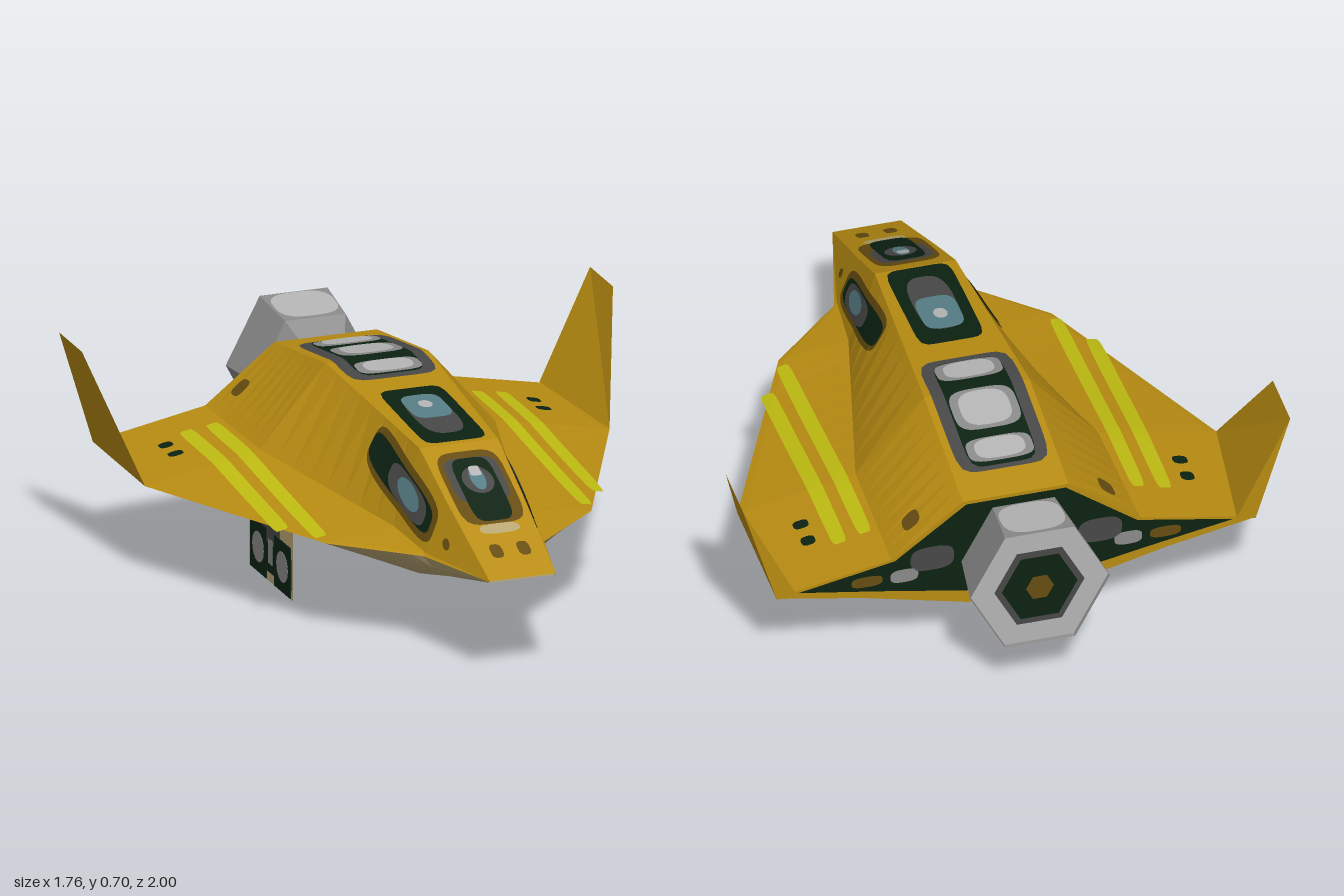
import * as THREE from 'three';

const mat = (name, color) => new THREE.MeshStandardMaterial({ name, color, side: THREE.DoubleSide });

// Hull stations from nose to tail: z, then the half section
// [deck edge, wing root, wing inner edge, wing edge, lower wing, keel edge]
const STATIONS = [
  [1, [[0.11, 0.346], [0.11, 0.345], [0.11, 0.344], [0.11, 0.343], [0.11, 0.342], [0.11, 0.341]]],
  [0.66, [[0.125, 0.503], [0.19, 0.338], [0.195, 0.333], [0.2, 0.33], [0.17, 0.29], [0.115, 0.254]]],
  [0.44, [[0.13, 0.605], [0.215, 0.36], [0.42, 0.335], [0.44, 0.33], [0.3, 0.27], [0.13, 0.195]]],
  [-0.27, [[0.17, 0.66], [0.39, 0.405], [0.74, 0.338], [0.77, 0.33], [0.49, 0.27], [0.155, 0.13]]],
  [-0.72, [[0.17, 0.585], [0.4, 0.405], [0.71, 0.345], [0.77, 0.33], [0.49, 0.275], [0.155, 0.19]]],
];
const lerp = THREE.MathUtils.lerp;

function sectionAt(z) {
  let k = 0;
  while (k < STATIONS.length - 2 && z < STATIONS[k + 1][0]) k++;
  const [z0, a] = STATIONS[k], [z1, b] = STATIONS[k + 1];
  const t = (z - z0) / (z1 - z0);
  return a.map((p, i) => [lerp(p[0], b[i][0], t), lerp(p[1], b[i][1], t)]);
}

// Height of the upper skin
function topY(x, z) {
  const s = sectionAt(z), ax = Math.abs(x);
  if (ax <= s[0][0]) return s[0][1];
  let i = 0;
  while (i < 2 && ax > s[i + 1][0]) i++;
  return lerp(s[i][1], s[i + 1][1], (ax - s[i][0]) / (s[i + 1][0] - s[i][0]));
}

// Half width of the cabin wall at a height
function wallX(y, z) {
  const [d, r] = sectionAt(z);
  return lerp(d[0], r[0], (d[1] - y) / (d[1] - r[1]));
}

function flat(positions) {
  const g = new THREE.BufferGeometry();
  g.setAttribute('position', new THREE.Float32BufferAttribute(positions, 3));
  g.computeVertexNormals();
  return g;
}

// Loft of some of the 12 section edges
function loft(edges) {
  const zs = [];
  for (let k = 0; k < 4; k++)
    for (let j = 0; j < 8; j++) zs.push(lerp(STATIONS[k][0], STATIONS[k + 1][0], j / 8));
  zs.push(-0.72);
  const rings = zs.map((z) => {
    const s = sectionAt(z);
    return [...s, ...s.slice().reverse().map(([x, y]) => [-x, y])].map(([x, y]) => [x, y, z]);
  });
  const pos = [];
  for (let k = 0; k < rings.length - 1; k++)
    for (const i of edges) {
      const j = (i + 1) % 12;
      const a = rings[k][i], b = rings[k][j], c = rings[k + 1][j], d = rings[k + 1][i];
      pos.push(...a, ...b, ...c, ...a, ...c, ...d);
    }
  return flat(pos);
}

// Rounded patch: superellipse of power n, laid on a surface by place(u, v)
function patch(n, place) {
  const g = new THREE.RingGeometry(0.001, 1, 48, 10), p = g.attributes.position;
  for (let i = 0; i < p.count; i++) {
    const x = p.getX(i), y = p.getY(i), r = Math.hypot(x, y);
    const k = 1 / Math.pow(Math.abs(x / r) ** n + Math.abs(y / r) ** n, 1 / n);
    p.setXYZ(i, ...place(x * k, y * k));
  }
  g.computeVertexNormals();
  return g;
}

export function createModel() {
  const gold = mat('gold', 0xb88c12), beige = mat('beige', 0xb8a674), lime = mat('lime', 0xbebb12);
  const dark = mat('blackGreen', 0x0c2212), brown = mat('brown', 0x664c10), teal = mat('teal', 0x567e86);
  const charcoal = mat('charcoal', 0x484848), grey = mat('grey', 0x8a8a8a), pale = mat('paleGrey', 0xb4b4b4);

  const root = new THREE.Group();
  root.name = 'spacecraft';
  const add = (name, geo, m, parent = root) => {
    const mesh = new THREE.Mesh(geo, m);
    mesh.name = name;
    parent.add(mesh);
    return mesh;
  };

  // Hull
  add('upperHull', loft([0, 1, 2, 8, 9, 10, 11]), gold);
  add('lowerHull', loft([3, 4, 5, 6, 7]), beige);

  // Rear bulkhead with its dark panel
  const rear = (name, half, z, m) => {
    const pts = [...half, ...half.slice().reverse().map(([x, y]) => [-x, y])];
    const g = new THREE.ShapeGeometry(new THREE.Shape(pts.map((p) => new THREE.Vector2(...p))));
    add(name, g.rotateY(Math.PI).translate(0, 0, z), m);
  };
  rear('rearBulkhead', STATIONS[4][1], -0.72, gold);
  rear('rearPanel', [[0.16, 0.575], [0.39, 0.4], [0.7, 0.34], [0.45, 0.295], [0.14, 0.235]], -0.723, dark);
  const rearSpot = (name, x, y, hx, hy, m) =>
    add(name, patch(3, (u, v) => [x - u * hx, y + v * hy, -0.726]), m);

  // Marks on the upper skin
  const mark = (name, x, z, hx, hz, m, layer = 0, n = 5) =>
    add(name, patch(n, (u, v) => {
      const px = x + u * hx, pz = z - v * hz;
      return [px, topY(px, pz) + 0.005 + layer * 0.003, pz];
    }), m);

  // Front canopy
  mark('canopyFrame', 0, 0.63, 0.105, 0.15, brown);
  mark('canopySurround', 0, 0.6, 0.088, 0.09, charcoal, 1);
  mark('canopyGlass', 0, 0.645, 0.065, 0.13, dark, 2);
  mark('canopyCentre', 0, 0.61, 0.05, 0.055, charcoal, 3, 2);
  mark('canopyShine', 0, 0.605, 0.024, 0.05, teal, 4, 2);
  mark('canopyGlint', 0, 0.58, 0.018, 0.02, pale, 5);
  mark('noseLight', 0, 0.8, 0.065, 0.02, beige, 0, 3);

  // Roof window
  mark('roofWindow', 0, 0.215, 0.105, 0.215, dark, 0, 9);
  mark('roofWindowInner', 0, 0.22, 0.068, 0.15, charcoal, 1, 3);
  mark('roofWindowGlass', 0, 0.16, 0.065, 0.09, teal, 2, 4);
  mark('roofWindowGlint', 0, 0.15, 0.022, 0.028, pale, 3, 2);

  // Rear vent
  mark('ventFrame', 0, -0.355, 0.148, 0.26, charcoal, 0, 8);
  mark('ventBed', 0, -0.36, 0.11, 0.24, dark, 1, 8);
  for (const [z, h] of [[-0.535, 0.05], [-0.365, 0.085], [-0.175, 0.05]]) {
    mark('ventGrille', 0, z, 0.105, h, grey, 2, 4);
    mark('ventShine', 0, z, 0.08, h * 0.85, pale, 3, 3);
  }

  // Engine bell, hexagonal
  const engine = new THREE.Group();
  engine.name = 'engine';
  engine.position.y = 0.425;
  engine.scale.y = 1.1;
  root.add(engine);
  const profile = [[0.12, 0.715], [0.2, 0.81], [0.225, 1]].map((p) => new THREE.Vector2(...p));
  const bell = new THREE.LatheGeometry(profile, 6, Math.PI / 2).rotateX(-Math.PI / 2).toNonIndexed();
  bell.computeVertexNormals();
  add('engineBell', bell, grey, engine);
  const disc = (name, r, z, m) =>
    add(name, new THREE.CircleGeometry(r, 6).rotateY(Math.PI).translate(0, 0, z), m, engine);
  disc('engineRim', 0.222, -0.99, pale);
  disc('engineRing', 0.145, -0.993, charcoal);
  disc('engineCore', 0.122, -0.996, dark);
  disc('engineCentre', 0.045, -0.999, brown);
  add('engineShine', patch(3, (u, v) => {
    const z = -0.905 + v * 0.085, r = lerp(0.2, 0.225, (-0.81 - z) / 0.19);
    return [u * 0.1, r * 0.866 + 0.003, z];
  }), pale, engine);

  for (const s of [1, -1]) {
    // Wing stripes and small ports
    mark('wingStripe', s * 0.44, -0.08, 0.023, 0.48, lime, 0, 10);
    mark('wingStripe', s * 0.523, -0.145, 0.024, 0.425, lime, 0, 10);
    mark('rearPort', s * 0.315, -0.635, 0.025, 0.032, brown, 0, 3);
    mark('wingPort', s * 0.61, -0.51, 0.022, 0.022, dark, 0, 3);
    mark('wingPort', s * 0.61, -0.425, 0.024, 0.02, dark, 0, 3);
    mark('nosePort', s * 0.045, 0.89, 0.02, 0.028, brown, 0, 3);

    // Slanted cabin side window
    const side = (name, z, dy, hz, hy, m, layer, n) =>
      add(name, patch(n, (u, v) => {
        const pz = z + u * hz, py = 0.485 + dy + 0.3 * (0.42 - pz) + v * hy;
        return [s * (wallX(py, pz) + 0.004 + layer * 0.003), py, pz];
      }), m);
    side('sideWindowFrame', 0.42, 0, 0.24, 0.07, brown, 0, 4);
    side('sideWindowGlass', 0.41, 0, 0.225, 0.048, dark, 1, 4);
    side('sideWindowInner', 0.47, 0, 0.13, 0.045, charcoal, 2, 3);
    side('sideWindowShine', 0.48, 0.005, 0.075, 0.033, teal, 3, 2);
    side('sidePort', 0.74, -0.0, 0.02, 0.015, brown, 0, 2);

    // Rear panel fittings
    rearSpot('rearVent', s * 0.27, 0.39, 0.07, 0.045, charcoal);
    rearSpot('rearVent', s * 0.36, 0.34, 0.045, 0.025, grey);
    rearSpot('rearPatch', s * 0.48, 0.34, 0.05, 0.02, brown);

    // Upright wing fin
    const f = [0.77, 0.33, -0.27], o = [0.77, 0.33, -0.725], i = [0.71, 0.345, -0.725];
    const t = [0.88, 0.7, -0.53], b = [0.88, 0.7, -0.73];
    const tris = [f, o, b, f, b, t, f, b, i, o, i, b];
    add('wingFin', flat(tris.flatMap(([x, y, z]) => [s * x, y, z])), gold);

    // Landing gear plate with two wheels
    const gear = new THREE.Group();
    gear.name = 'landingGear';
    gear.position.set(s * 0.39, 0, -0.17);
    root.add(gear);
    add('gearPlate', new THREE.PlaneGeometry(0.38, 0.24).rotateY(Math.PI / 2).translate(0, 0.12, 0), beige, gear);
    const slab = (name, z, y, w, h, d, m) =>
      add(name, new THREE.BoxGeometry(d, h, w).translate(0, y, z), m, gear);
    slab('gearBase', 0, 0.08, 0.36, 0.1, 0.002, dark);
    slab('gearStrut', 0, 0.175, 0.16, 0.1, 0.004, charcoal);
    slab('gearStrutShine', -0.02, 0.215, 0.09, 0.04, 0.006, grey);
    slab('gearLink', 0, 0.1, 0.035, 0.08, 0.006, grey);
    for (const z of [0.105, -0.105]) {
      slab('wheelTyre', z, 0.085, 0.14, 0.165, 0.006, dark);
      const hub = new THREE.CylinderGeometry(0.05, 0.05, 0.008, 16).rotateZ(Math.PI / 2);
      add('wheelHub', hub.translate(0, 0.085, z), grey, gear);
    }
  }
  return root;
}
